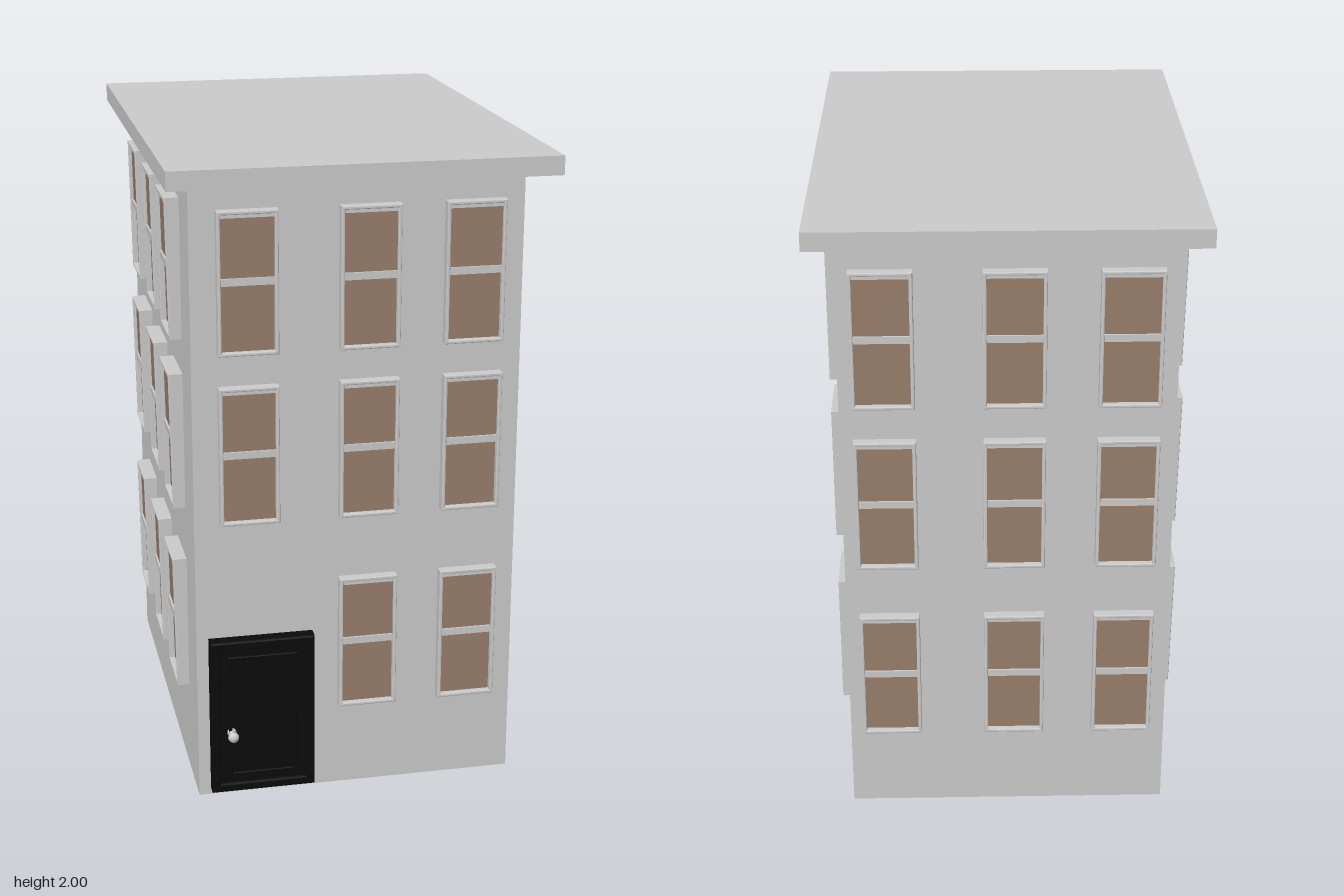
import * as THREE from 'three';

const grey = new THREE.MeshStandardMaterial({ color: 0xcccccc, flatShading: true });
const smoothGrey = new THREE.MeshStandardMaterial({ color: 0xcccccc });
const glass = new THREE.MeshStandardMaterial({ color: 0x997e6b });
const black = new THREE.MeshStandardMaterial({ color: 0x0b0b0b, flatShading: true });

function add(parent, name, geometry, material, x = 0, y = 0, z = 0) {
  const mesh = new THREE.Mesh(geometry, material);
  mesh.name = name;
  mesh.position.set(x, y, z);
  parent.add(mesh);
  return mesh;
}

const box = (w, h, d) => new THREE.BoxGeometry(w, h, d);

function outline(target, w, h) {
  target.moveTo(-w / 2, -h / 2);
  target.lineTo(w / 2, -h / 2);
  target.lineTo(w / 2, h / 2);
  target.lineTo(-w / 2, h / 2);
  target.closePath();
  return target;
}

// Rectangular frame with bevelled edges, its back at z = 0
function frameGeometry(w, h, d, border, bevel) {
  const shape = outline(new THREE.Shape(), w, h);
  shape.holes.push(outline(new THREE.Path(), w - 2 * border, h - 2 * border));
  const geometry = new THREE.ExtrudeGeometry(shape, {
    depth: d - 2 * bevel, bevelSize: bevel, bevelThickness: bevel, bevelOffset: -bevel, bevelSegments: 2,
  });
  return geometry.translate(0, 0, bevel);
}

// Sash window facing +z, with the wall at z = 0
function createWindow(w, depth) {
  const h = 0.43;
  const sash = new THREE.Group();
  sash.name = 'window';
  add(sash, 'windowFrame', frameGeometry(w, h, depth + 0.01, 0.011, 0.003), grey, 0, 0, -0.01);
  add(sash, 'upperPane', box(w - 0.016, h / 2, 0.006), glass, 0, h / 4 - 0.004, depth - 0.014);
  add(sash, 'lowerPane', box(w - 0.016, h / 2, 0.006), glass, 0, -h / 4 + 0.004, depth - 0.021);
  add(sash, 'meetingRail', box(w - 0.018, 0.022, 0.018), grey, 0, 0.006, depth - 0.014);
  add(sash, 'topRail', box(w - 0.018, 0.012, 0.015), grey, 0, h / 2 - 0.015, depth - 0.012);
  return sash;
}

// Panelled door with frame and knob, facing +z
function createDoor() {
  const door = new THREE.Group();
  door.name = 'door';
  add(door, 'doorFrame', frameGeometry(0.323, 0.51, 0.05, 0.03, 0.006), black, 0, 0, -0.01);
  add(door, 'doorLeaf', box(0.27, 0.46, 0.04), black, 0, 0, 0.01);
  add(door, 'doorMoulding', frameGeometry(0.215, 0.405, 0.01, 0.012, 0.003), black, 0, 0, 0.027);
  const profile = [[0, 0], [0.014, 0], [0.014, 0.006], [0.006, 0.01], [0.006, 0.024], [0.013, 0.029],
    [0.017, 0.037], [0.015, 0.046], [0.008, 0.051], [0, 0.052]].map(([r, y]) => new THREE.Vector2(r, y));
  const knob = add(door, 'doorKnob', new THREE.LatheGeometry(profile, 20), smoothGrey, -0.098, -0.053, 0.028);
  knob.rotation.x = Math.PI / 2;
  return door;
}

export function createModel() {
  const model = new THREE.Group();
  model.name = 'building';
  add(model, 'walls', box(0.995, 1.945, 1.34), grey, -0.0025, 0.9725, 0);
  add(model, 'roof', box(1.15, 0.057, 1.565), grey, 0, 1.9715, 0);

  // Per wall: turn, distance from centre, window columns (rightwards from outside) and rows (bottom up)
  const walls = [
    { name: 'front', turn: 0, out: 0.67, cols: [-0.333, 0.03, 0.345], rows: [0.49, 1.12, 1.647],
      width: 0.18, depth: 0.03, tilt: 0 },
    { name: 'left', turn: Math.PI / 2, out: 0.495, cols: [-0.375, 0.03, 0.383], rows: [0.49, 1.092, 1.63],
      width: 0.198, depth: 0.035, tilt: 0 },
    { name: 'back', turn: Math.PI, out: 0.67, cols: [-0.362, 0.022, 0.36], rows: [0.49, 1.092, 1.63],
      width: 0.185, depth: 0.03, tilt: 0 },
    { name: 'right', turn: -Math.PI / 2, out: 0.5, cols: [-0.343, 0.043, 0.387], rows: [0.508, 1.108, 1.647],
      width: 0.198, depth: 0.041, tilt: 0.015 },
  ];
  for (const wall of walls) {
    const side = new THREE.Group();
    side.name = wall.name + 'Windows';
    side.rotation.y = wall.turn;
    wall.rows.forEach((y, row) => wall.cols.forEach((x, col) => {
      if (wall.name === 'front' && row === 0 && col === 0) return; // the door stands here
      const sash = createWindow(wall.width, wall.depth);
      sash.position.set(x, y, wall.out);
      sash.rotation.x = wall.tilt;
      side.add(sash);
    }));
    model.add(side);
  }

  const door = createDoor();
  door.position.set(-0.302, 0.277, 0.67);
  model.add(door);
  return model;
}
